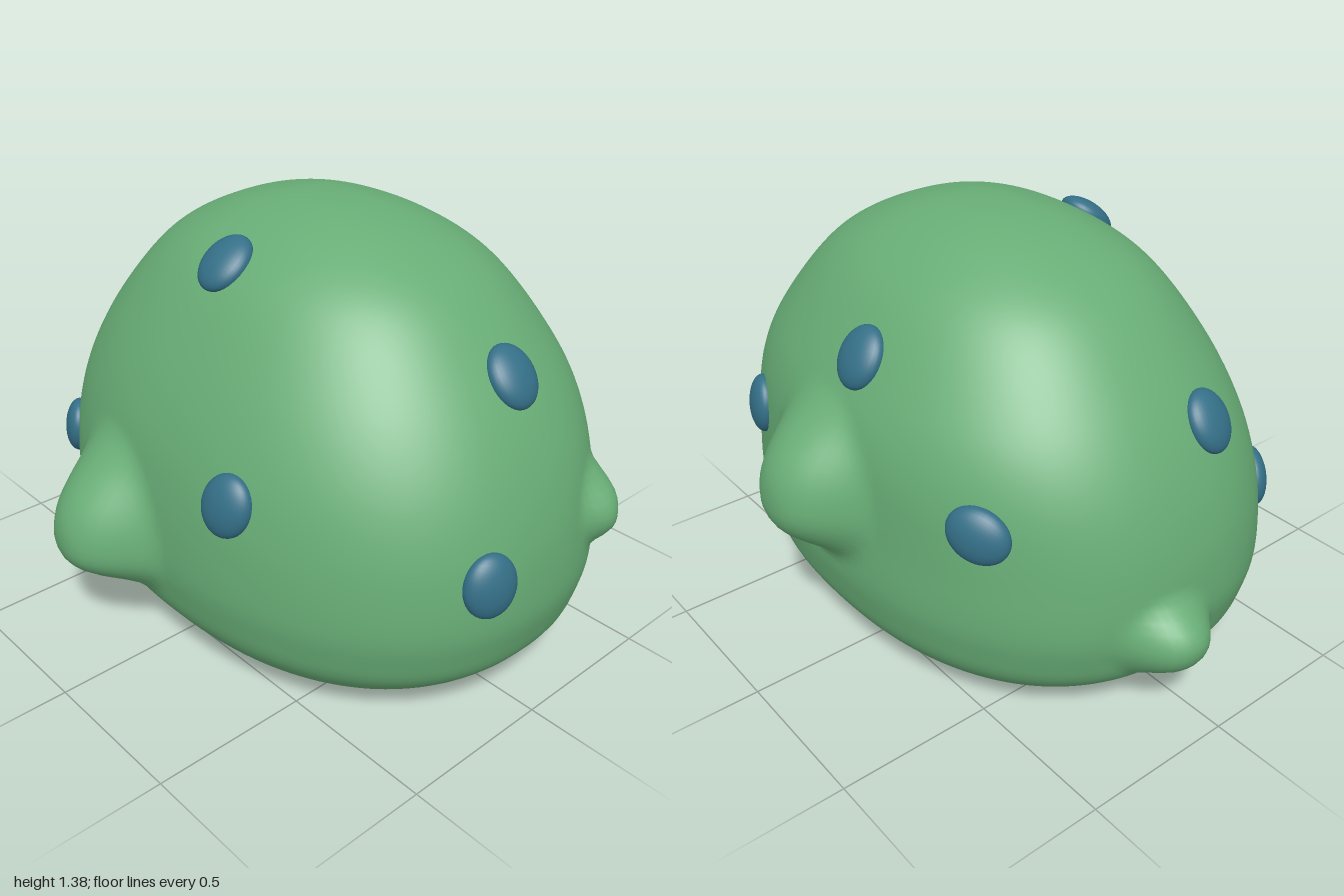
import * as THREE from 'three';
import { mergeVertices } from 'three/addons/utils/BufferGeometryUtils.js';

const CENTRE_X = 0.05;
const SQUARENESS = 2.25; // exponent of the slightly squared oval plan

// Half-width against height, from the underside up to the crown
const profile = new THREE.SplineCurve([
  [0, 0.02], [0.3, 0.012], [0.52, 0.003], [0.65, 0.028], [0.775, 0.085], [0.885, 0.185],
  [0.925, 0.28], [0.945, 0.4], [0.925, 0.6], [0.86, 0.8], [0.74, 1.0], [0.56, 1.2],
  [0.36, 1.313], [0.16, 1.368], [0, 1.38],
].map(([x, y]) => new THREE.Vector2(x, y)));
const outline = profile.getSpacedPoints(110);
outline[0].x = 0;
outline[110].x = 0;

// The upper body is a little deeper and leans back
const upper = (y) => THREE.MathUtils.smoothstep(y, 0.5, 0.95);
const depth = (y) => 0.735 + 0.03 * upper(y);
const centreZ = (y) => -0.01 - 0.025 * upper(y);

// Point on the body at an angle round the vertical axis
function bodyPoint(angle, width, y) {
  const s = Math.sin(angle), c = Math.cos(angle);
  const r = width * Math.pow(Math.abs(s) ** SQUARENESS + Math.abs(c) ** SQUARENESS, -1 / SQUARENESS);
  return new THREE.Vector3(CENTRE_X + r * s, y, centreZ(y) + r * c * depth(y));
}

// Body half-width at a height above the underside
function halfWidth(y) {
  const i = outline.findIndex((q) => q.y >= y);
  const a = outline[i - 1], b = outline[i];
  return THREE.MathUtils.lerp(a.x, b.x, (y - a.y) / (b.y - a.y));
}

// Rounded knobs pushed out of the body: base point, direction, height, radii
const knobs = [
  { at: [-0.18, 0.37, 0.66], dir: [-0.05, 0, 1], height: 0.19, side: 0.28, up: 0.36, down: 0.19 },
  { at: [0.05, 0.61, -0.69], dir: [0, 0, -1], height: 0.17, side: 0.27, up: 0.34, down: 0.22 },
  { at: [-0.885, 0.325, -0.12], dir: [-1, 0, -0.05], height: 0.11, side: 0.17, up: 0.16, down: 0.15 },
  { at: [0.91, 0.555, -0.34], dir: [1, 0, -0.15], height: 0.085, side: 0.14, up: 0.14, down: 0.14 },
].map((k) => ({ ...k, at: new THREE.Vector3(...k.at), dir: new THREE.Vector3(...k.dir).normalize() }));

function bodyGeometry() {
  let g = new THREE.LatheGeometry(outline, 180);
  const pos = g.attributes.position;
  const rel = new THREE.Vector3(), push = new THREE.Vector3();
  for (let i = 0; i < pos.count; i++) {
    const x = pos.getX(i), z = pos.getZ(i);
    const p = bodyPoint(Math.atan2(x, z), Math.hypot(x, z), pos.getY(i));
    push.set(0, 0, 0);
    for (const k of knobs) {
      rel.subVectors(p, k.at);
      if (rel.dot(k.dir) < -0.3) continue;
      const across = (rel.x * k.dir.z - rel.z * k.dir.x) / k.side;
      const along = rel.y / (rel.y > 0 ? k.up : k.down);
      const q = Math.min(1, Math.hypot(across, along));
      push.addScaledVector(k.dir, k.height * (1 - q ** 2.7) ** 2);
    }
    p.add(push);
    pos.setXYZ(i, p.x, p.y, p.z);
  }
  // Weld the seam so the shading is smooth all round
  g.deleteAttribute('uv');
  g.deleteAttribute('normal');
  g = mergeVertices(g, 1e-4);
  g.computeVertexNormals();
  return g;
}

export function createModel() {
  const group = new THREE.Group();
  const green = new THREE.MeshStandardMaterial({ color: 0x68ad76 });
  green.name = 'leaf green';
  const blue = new THREE.MeshStandardMaterial({ color: 0x346f87 });
  blue.name = 'slate blue';

  const body = new THREE.Mesh(bodyGeometry(), green);
  body.name = 'body';
  group.add(body);

  // Flattened spots seated on the skin: x, y, z, roll
  const spotGeometry = new THREE.SphereGeometry(1, 32, 20).scale(0.084, 0.098, 0.045);
  const spots = [
    [-0.645, 0.505, 0.52, -0.4], [0.36, 0.685, 0.63, -0.3], [0.03, 1.24, 0.35, 0],
    [-0.74, 0.895, 0.13, 0], [0.78, 1.015, -0.055, 0], [0.965, 0.53, 0.2, 0],
    [-0.04, 1.045, -0.57, 0], [0.51, 0.68, -0.63, 0], [-0.55, 0.7, -0.55, 1.2],
  ];
  for (const [x, y, z, roll] of spots) {
    const angle = Math.atan2(x - CENTRE_X, (z - centreZ(y)) / depth(y));
    const at = (da, dy) => bodyPoint(angle + da, halfWidth(y + dy), y + dy);
    const round = at(0.02, 0).sub(at(-0.02, 0));
    const rise = at(0, 0.02).sub(at(0, -0.02));
    const spot = new THREE.Mesh(spotGeometry, blue);
    spot.name = 'spot';
    spot.position.copy(at(0, 0));
    spot.lookAt(spot.position.clone().add(round.cross(rise)));
    spot.rotateZ(roll);
    group.add(spot);
  }
  return group;
}
